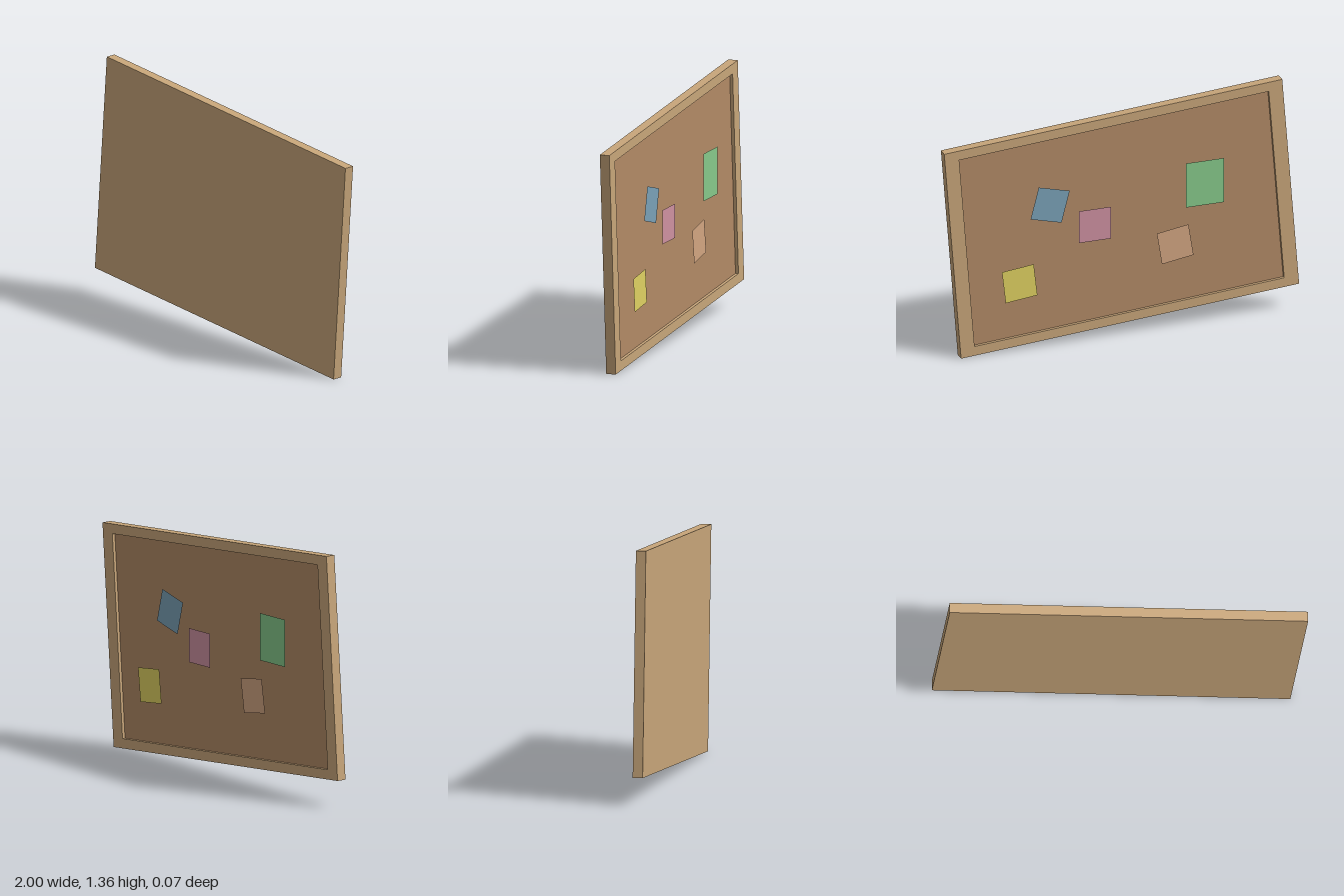
import * as THREE from 'three';

const W = 1.91, H = 1.21;            // board size
const FRONT = 0.034, BACK = -0.02;   // board faces along z
const PANEL = -0.003;                // recessed panel surface
const NOTE_Z = -0.034;               // notes float just behind the rim

const mat = (color, side = THREE.FrontSide) => new THREE.MeshStandardMaterial({ color, side });

function add(parent, name, geometry, material, x = 0, y = 0, z = 0) {
  const mesh = new THREE.Mesh(geometry, material);
  mesh.name = name;
  mesh.position.set(x, y, z);
  parent.add(mesh);
  return mesh;
}

function rect(target, w, h) {
  target.moveTo(-w / 2, -h / 2);
  target.lineTo(w / 2, -h / 2);
  target.lineTo(w / 2, h / 2);
  target.lineTo(-w / 2, h / 2);
  target.closePath();
  return target;
}

export function createModel() {
  const model = new THREE.Group();
  model.name = 'pinBoard';
  const board = new THREE.Group();
  board.name = 'tiltedBoard';
  board.position.y = 0.679;
  board.rotation.z = THREE.MathUtils.degToRad(-4.5);
  model.add(board);

  const wood = mat(0xc8a67a);

  // Solid backing that forms the plain front
  const depth = FRONT - PANEL - 0.001;
  add(board, 'backing', new THREE.BoxGeometry(W, H, depth), wood, 0, 0, FRONT - depth / 2);

  // Raised rim around the recess
  const inner = [W - 0.16, H - 0.106];
  const rim = rect(new THREE.Shape(), W, H);
  rim.holes.push(rect(new THREE.Path(), ...inner));
  const rimGeo = new THREE.ExtrudeGeometry(rim, { depth: FRONT - depth - BACK, bevelEnabled: false });
  add(board, 'rim', rimGeo, wood, 0, 0, BACK);

  // Cork panel inside the rim, facing -z
  add(board, 'corkPanel', new THREE.PlaneGeometry(...inner), mat(0xb28a66), 0, 0, PANEL).rotation.y = Math.PI;

  // Paper notes: name, colour, x, y, width, height, turn in degrees
  const notes = [
    ['blueNote', 0x7aa1b7, 0.395, 0.18, 0.18, 0.185, 18.9],
    ['pinkNote', 0xce91a1, 0.156, 0.007, 0.18, 0.185, 4.5],
    ['greenNote', 0x86c98a, -0.474, 0.11, 0.213, 0.257, 4.5],
    ['yellowNote', 0xdfd162, 0.6, -0.238, 0.18, 0.185, -2],
    ['orangeNote', 0xd2a581, -0.281, -0.209, 0.18, 0.185, -4.5],
  ];
  for (const [name, color, x, y, w, h, turn] of notes) {
    const note = add(board, name, new THREE.PlaneGeometry(w, h), mat(color, THREE.DoubleSide), x, y, NOTE_Z);
    note.rotation.set(0, Math.PI, THREE.MathUtils.degToRad(turn), 'ZYX');
  }
  return model;
}
